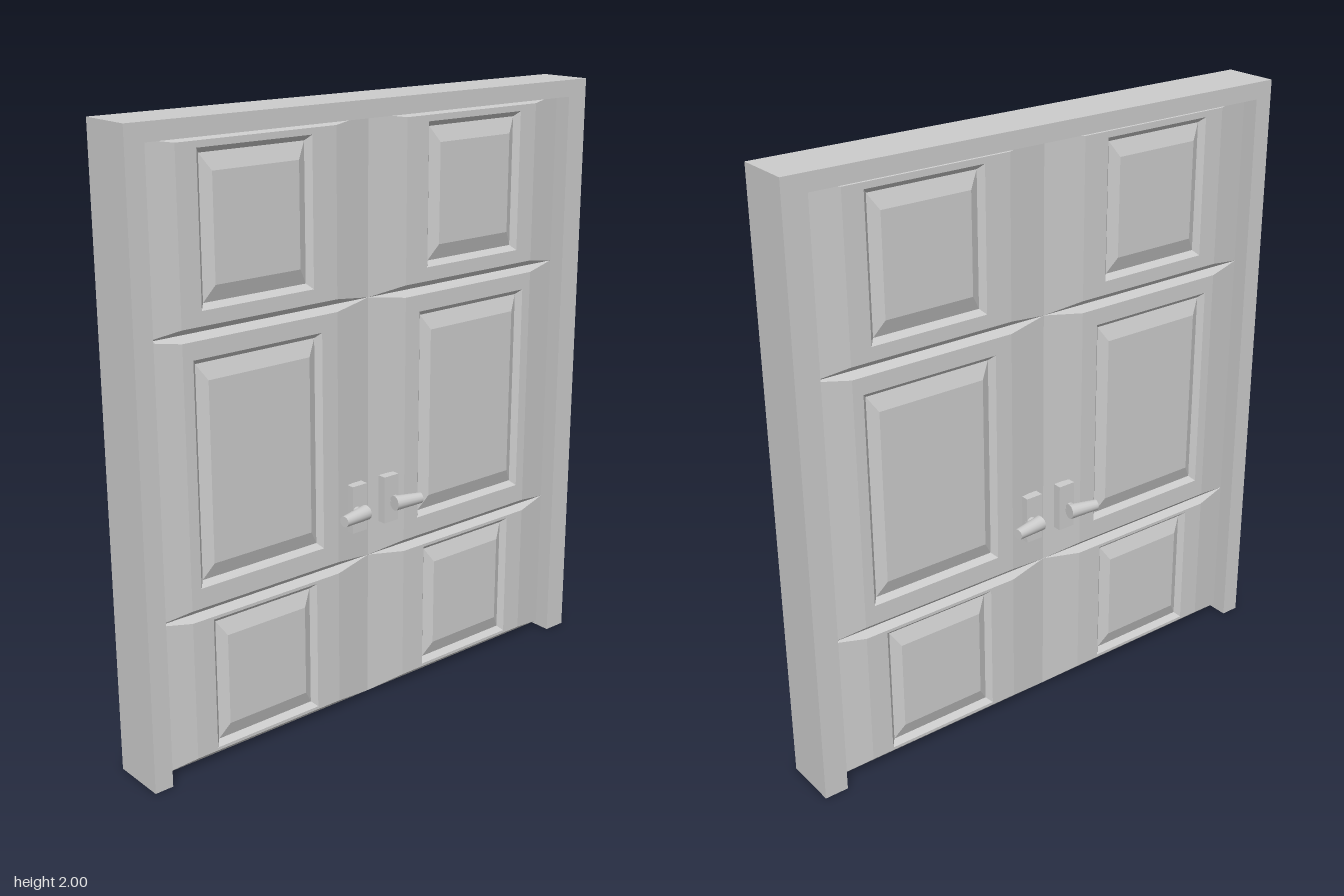
import * as THREE from 'three';

const material = new THREE.MeshStandardMaterial({ color: 0xcccccc, flatShading: true });
const smooth = new THREE.MeshStandardMaterial({ color: 0xcccccc });

function add(parent, name, geometry, x = 0, y = 0, z = 0, mat = material) {
  const mesh = new THREE.Mesh(geometry, mat);
  mesh.name = name;
  mesh.position.set(x, y, z);
  parent.add(mesh);
  return mesh;
}

// Relief made of nested rectangles [x0, x1, y0, y1, z], outermost first
function nestedRects(rects) {
  const positions = [];
  const index = [];
  rects.forEach(([x0, x1, y0, y1, z], i) => {
    positions.push(x0, y0, z, x1, y0, z, x1, y1, z, x0, y1, z);
    if (i === 0) return;
    const a = (i - 1) * 4, b = i * 4;
    for (let k = 0; k < 4; k++) {
      const n = (k + 1) % 4;
      index.push(a + k, a + n, b + n, a + k, b + n, b + k);
    }
  });
  const c = (rects.length - 1) * 4;
  index.push(c, c + 1, c + 2, c, c + 2, c + 3);
  const geometry = new THREE.BufferGeometry();
  geometry.setAttribute('position', new THREE.Float32BufferAttribute(positions, 3));
  geometry.setIndex(index);
  const flat = geometry.toNonIndexed();
  flat.computeVertexNormals();
  return flat;
}

const LEAF = 0.825;   // width of one door leaf
const CORE = 0.038;   // half thickness at the section edges
const FACE = 0.058;   // height of the section faces

// Section bottom and top, panel inner and outer x, panel bottom and top
const SECTIONS = [
  ['lower', 0.015, 0.515, 0.23, 0.63, 0.045, 0.485],
  ['middle', 0.515, 1.385, 0.2, 0.67, 0.6, 1.31],
  ['upper', 1.385, 1.95, 0.23, 0.635, 1.45, 1.91],
];

// Rectangle on the side s (+1 or -1), given by distances from the seam
function rect(s, near, far, y0, y1, z) {
  return s > 0 ? [near, far, y0, y1, z] : [-far, -near, y0, y1, z];
}

function makeHandle(s) {
  const handle = new THREE.Group();
  handle.name = 'handle';
  add(handle, 'handlePlate', new THREE.BoxGeometry(0.06, 0.16, 0.03), s * 0.067, 0.708, FACE + 0.005);
  const post = add(handle, 'handlePost', new THREE.CylinderGeometry(0.018, 0.018, 0.04, 16), s * 0.08, 0.7, 0.09, smooth);
  post.rotation.x = Math.PI / 2;
  // Tapered lever, thick at the post and leaning outwards
  const start = new THREE.Vector3(s * 0.06, 0.7, 0.1);
  const end = new THREE.Vector3(s * 0.162, 0.698, 0.114);
  const direction = end.clone().sub(start);
  const lever = add(handle, 'handleLever', new THREE.CylinderGeometry(0.018, 0.025, direction.length(), 16), 0, 0, 0, smooth);
  lever.position.copy(start).add(end).multiplyScalar(0.5);
  lever.quaternion.setFromUnitVectors(new THREE.Vector3(0, 1, 0), direction.normalize());
  return handle;
}

// One side of both leaves: bevelled sections with raised panels, and handles
function makeDoorFace(name) {
  const face = new THREE.Group();
  face.name = name;
  for (const s of [1, -1]) {
    for (const [label, y0, y1, near, far, p0, p1] of SECTIONS) {
      const panel = (dx, dy, z) => rect(s, near + dx, far - dx, p0 + dy, p1 - dy, z);
      add(face, label + 'Section', nestedRects([
        rect(s, 0, LEAF, y0, y1, CORE),
        rect(s, 0.14, LEAF - 0.12, y0 + 0.02, y1 - 0.02, FACE),
        panel(0, 0, FACE),
        panel(0.017, 0.017, FACE - 0.018),
        panel(0.05, 0.068, FACE),
      ]));
    }
    face.add(makeHandle(s));
  }
  return face;
}

export function createModel() {
  const model = new THREE.Group();
  model.name = 'doubleDoor';

  // Frame open at the bottom
  const outline = new THREE.Shape([
    [-0.895, 0], [-0.832, 0], [-0.832, 1.945], [0.815, 1.945],
    [0.815, 0], [0.895, 0], [0.895, 2], [-0.895, 2],
  ].map(([x, y]) => new THREE.Vector2(x, y)));
  add(model, 'frame', new THREE.ExtrudeGeometry(outline, { depth: 0.186, bevelEnabled: false }), 0, 0, -0.097);

  // Two leaves, the same on both sides
  const doors = new THREE.Group();
  doors.name = 'doors';
  doors.position.set(-0.01, 0, -0.004);
  for (const s of [1, -1]) {
    add(doors, s > 0 ? 'leftLeaf' : 'rightLeaf',
      new THREE.BoxGeometry(LEAF, 1.935, CORE * 2 - 0.001), s * LEAF / 2, 0.9825, 0);
  }
  const back = makeDoorFace('backFace');
  back.rotation.y = Math.PI;
  doors.add(makeDoorFace('frontFace'), back);
  model.add(doors);
  return model;
}
